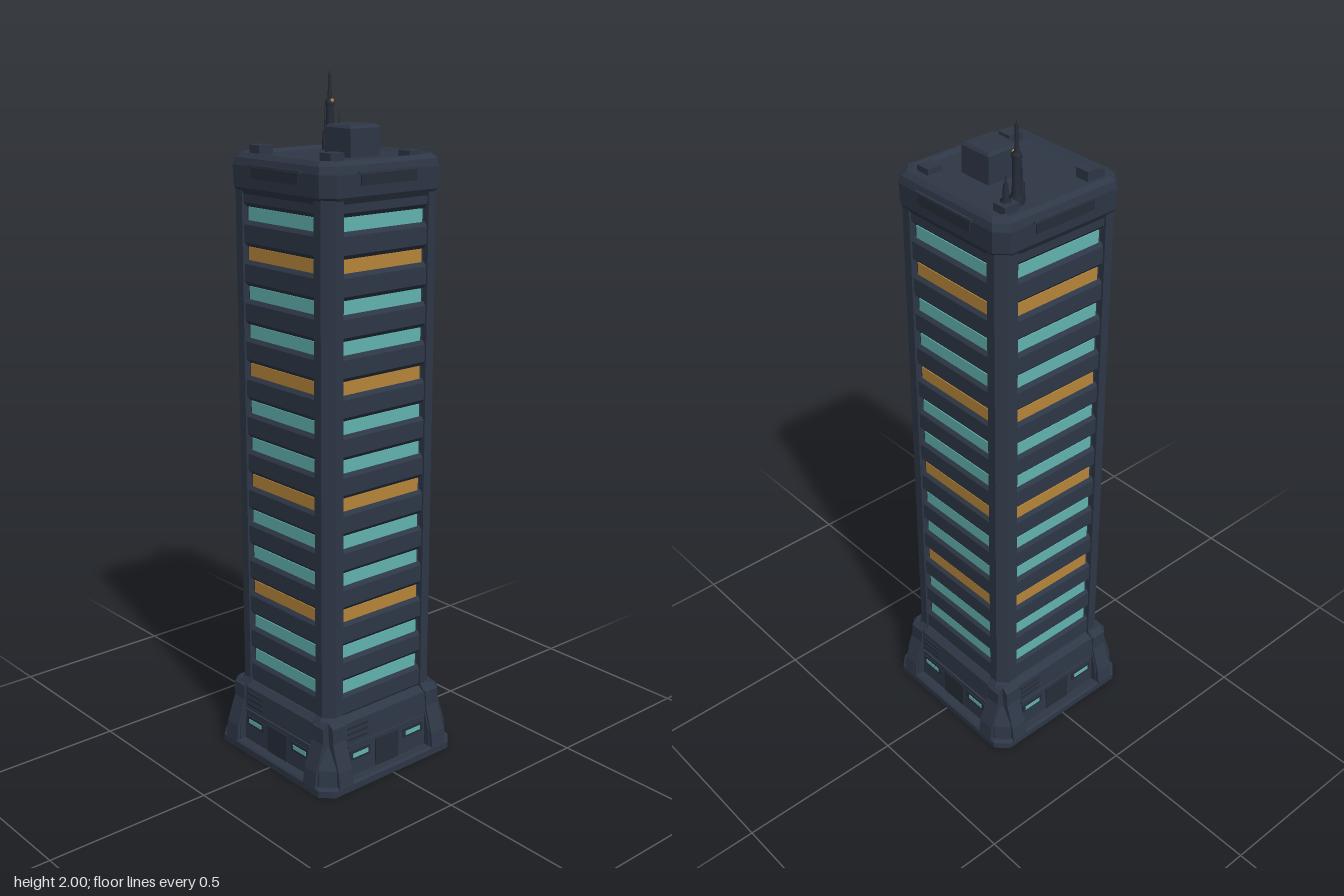
import * as THREE from 'three';

const material = (name, color) => {
  const m = new THREE.MeshStandardMaterial({ color });
  m.name = name;
  return m;
};

// Cross-sections as [x, z] corners, counter-clockwise from above
const octagon = (h, c) => [
  [-h + c, h], [h - c, h], [h, h - c], [h, -h + c],
  [h - c, -h], [-h + c, -h], [-h, -h + c], [-h, h - c],
];
const cornerSection = (h, c, inner) => [[inner, h], [h - c, h], [h, h - c], [h, inner], [inner, inner]];
const rect = (x0, x1, z0, z1) => [[x0, z1], [x1, z1], [x1, z0], [x0, z0]];

// Flat-faced loft through rings of { y, section }, closed at both ends
function loft(rings) {
  const pos = [];
  const put = (r, i) => {
    const s = r[1], p = s[i % s.length];
    pos.push(p[0], r[0], p[1]);
  };
  const n = rings[0][1].length;
  for (let k = 0; k < rings.length - 1; k++) {
    const a = rings[k], b = rings[k + 1];
    for (let i = 0; i < n; i++) {
      put(a, i); put(a, i + 1); put(b, i + 1);
      put(a, i); put(b, i + 1); put(b, i);
    }
  }
  const first = rings[0], last = rings[rings.length - 1];
  for (let i = 1; i < n - 1; i++) {
    put(last, 0); put(last, i); put(last, i + 1);
    put(first, 0); put(first, i + 1); put(first, i);
  }
  const g = new THREE.BufferGeometry();
  g.setAttribute('position', new THREE.Float32BufferAttribute(pos, 3));
  g.computeVertexNormals();
  return g;
}

export function createModel() {
  const body = material('darkSlate', 0x2e3746);
  const trim = material('deepSlate', 0x262d39);
  const teal = material('tealGlass', 0x62b4b0);
  const amber = material('amberGlass', 0xb8863a);

  const model = new THREE.Group();
  model.name = 'tower';
  const add = (parent, name, geometry, mat, x = 0, y = 0, z = 0) => {
    const mesh = new THREE.Mesh(geometry, mat);
    mesh.name = name;
    mesh.position.set(x, y, z);
    parent.add(mesh);
    return mesh;
  };
  const box = (w, h, d) => new THREE.BoxGeometry(w, h, d);

  // Plinth, podium and inner core
  add(model, 'plinth', loft([[0, octagon(0.26, 0.035)], [0.02, octagon(0.26, 0.035)], [0.026, octagon(0.254, 0.035)]]), body);
  add(model, 'podium', loft([
    [0.02, octagon(0.23, 0.03)], [0.13, octagon(0.226, 0.03)],
    [0.195, octagon(0.222, 0.03)], [0.21, octagon(0.203, 0.03)],
  ]), body);
  add(model, 'core', loft([[0.15, octagon(0.19, 0.02)], [1.72, octagon(0.19, 0.02)]]), body);

  // Crown with a shallow rim around the roof
  add(model, 'crown', loft([
    [1.672, octagon(0.2, 0.03)], [1.695, octagon(0.214, 0.033)], [1.755, octagon(0.216, 0.033)],
    [1.776, octagon(0.211, 0.033)], [1.788, octagon(0.2, 0.033)], [1.788, octagon(0.192, 0.033)],
    [1.779, octagon(0.18, 0.033)],
  ]), body);

  // Geometry shared by the four sides
  const post = loft([
    [0.18, cornerSection(0.209, 0.028, 0.153)], [1.7, cornerSection(0.209, 0.028, 0.153)],
  ]);
  const pier = loft([
    [0.02, cornerSection(0.25, 0.034, 0.155)], [0.075, cornerSection(0.247, 0.034, 0.155)],
    [0.145, cornerSection(0.224, 0.032, 0.155)], [0.2, cornerSection(0.222, 0.032, 0.155)],
    [0.222, cornerSection(0.207, 0.03, 0.155)],
  ]);
  const buttress = loft([
    [0.02, rect(0.158, 0.21, 0.2, 0.262)], [0.07, rect(0.158, 0.21, 0.2, 0.256)],
    [0.15, rect(0.16, 0.208, 0.2, 0.229)], [0.195, rect(0.16, 0.208, 0.2, 0.227)],
    [0.21, rect(0.16, 0.208, 0.2, 0.212)],
  ]);
  const spandrel = loft([
    [0, rect(-0.155, 0.155, 0.17, 0.192)], [0.012, rect(-0.155, 0.155, 0.17, 0.203)],
    [0.062, rect(-0.155, 0.155, 0.17, 0.203)], [0.0735, rect(-0.155, 0.155, 0.17, 0.194)],
  ]);
  const glass = box(0.286, 0.037, 0.006);
  const pitch = 0.1105, rows = 13, firstRow = 0.297;

  for (let k = 0; k < 4; k++) {
    const side = new THREE.Group();
    side.name = 'side' + (k + 1);
    side.rotation.y = (k * Math.PI) / 2;
    model.add(side);

    add(side, 'cornerPost', post, body);
    add(side, 'cornerPier', pier, body);
    add(side, 'buttress', buttress, body);
    add(side, 'buttress', buttress, body, -0.368);

    // Window bands between protruding spandrels
    for (let i = 0; i <= rows; i++) {
      const y = firstRow + i * pitch;
      add(side, 'spandrel', spandrel, body, 0, y - pitch + 0.0185);
      if (i < rows) add(side, 'windowBand', glass, i % 3 === 2 ? amber : teal, 0, y, 0.192);
    }

    // Crown panel with a narrow ledge
    add(side, 'crownPanel', box(0.2, 0.03, 0.006), trim, 0, 1.738, 0.2155);
    add(side, 'crownLedge', box(0.22, 0.007, 0.01), body, 0, 1.757, 0.2155);

    // Podium panels, vents, doors and small windows
    add(side, 'podiumLedge', box(0.3, 0.008, 0.012), body, 0, 0.122, 0.226);
    add(side, 'door', box(0.09, 0.09, 0.006), trim, 0, 0.067, 0.2285);
    for (const s of [-1, 1]) {
      add(side, 'windowSurround', box(0.08, 0.03, 0.006), trim, s * 0.105, 0.09, 0.2275);
      add(side, 'podiumWindow', box(0.058, 0.013, 0.004), teal, s * 0.105, 0.09, 0.2305);
    }
    for (let j = 0; j < 3; j++) {
      add(side, 'ventSlat', box(0.075, 0.007, 0.006), trim, -0.11, 0.142 + j * 0.018, 0.2245);
    }
  }

  // Roof equipment
  add(model, 'roofUnit', loft([
    [1.77, rect(-0.022, 0.086, -0.022, 0.085)], [1.856, rect(-0.021, 0.085, -0.021, 0.084)],
    [1.864, rect(-0.015, 0.079, -0.015, 0.078)],
  ]), body);
  for (const [x, z, h] of [[-0.14, -0.153, 0.022], [-0.14, 0.147, 0.022], [0.14, 0.147, 0.012], [0.143, -0.153, 0.016]]) {
    add(model, 'roofVent', box(0.048, h + 0.01, 0.044), body, x, 1.779 + h / 2, z);
  }

  // Tapered masts
  const mast = (name, x, z, profile) => add(model, name,
    new THREE.LatheGeometry(profile.map(([r, y]) => new THREE.Vector2(r, y)), 8), trim, x, 0, z);
  mast('tallMast', 0.1, -0.143, [
    [0.02, 1.775], [0.018, 1.8], [0.012, 1.81], [0.011, 1.9], [0.014, 1.905],
    [0.013, 1.915], [0.006, 1.92], [0.005, 1.985], [0, 2],
  ]);
  mast('shortMast', 0.14, -0.148, [
    [0.016, 1.775], [0.014, 1.805], [0.008, 1.81], [0.007, 1.845], [0.003, 1.85], [0, 1.88],
  ]);
  mast('sideMast', 0.082, -0.143, [[0.009, 1.775], [0.007, 1.83], [0.003, 1.835], [0, 1.91]]);
  add(model, 'beacon', new THREE.SphereGeometry(0.006, 8, 6), amber, 0.1, 1.915, -0.133);

  return model;
}
